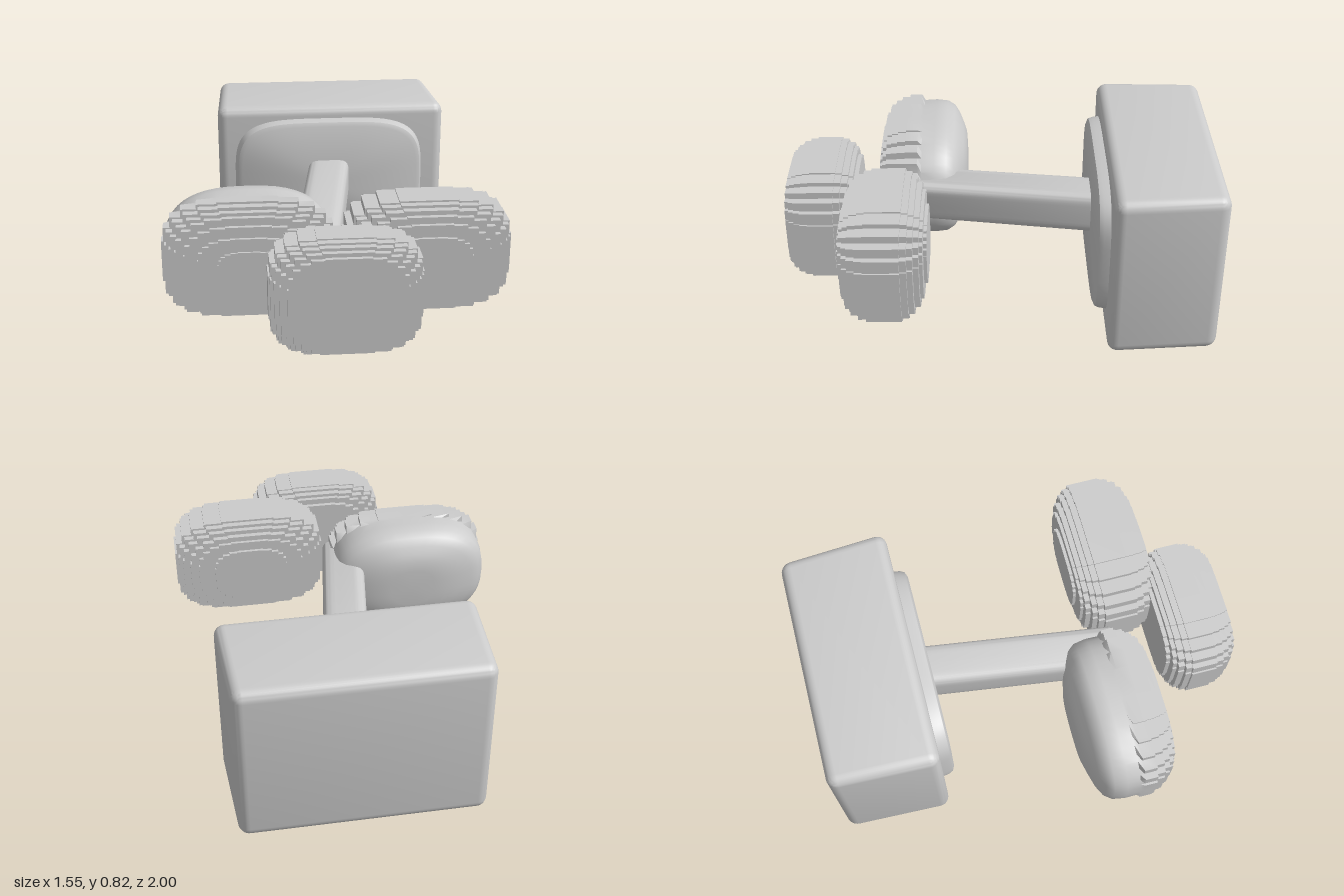
import * as THREE from 'three';
import { toCreasedNormals } from 'three/addons/utils/BufferGeometryUtils.js';
import { RoundedBoxGeometry } from 'three/addons/geometries/RoundedBoxGeometry.js';

const material = new THREE.MeshStandardMaterial({ color: 0xcccccc });

// Superellipse outline of radius 1; stepped turns its corners into stairs
function outline(n, power, stepped) {
  const at = (a) => {
    const c = Math.cos(a), s = Math.sin(a);
    const f = (v) => (Math.abs(v) < 1e-6 ? 0 : Math.sign(v) * Math.abs(v) ** (2 / power));
    return [f(c), f(s)];
  };
  const points = [];
  const step = Math.PI / (2 * n);
  for (let k = 0; k < 4 * n; k++) {
    const p = at(k * step), q = at((k + 1) * step);
    const wide = (i) => (Math.abs(p[i]) > Math.abs(q[i]) ? p[i] : q[i]);
    points.push(p, stepped ? [wide(0), wide(1)] : at((k + 0.5) * step));
  }
  return points;
}

// Closed body lofted along z through rings { z, sx, sy, dx, stepped }
function loft(rings, n, power) {
  const shapes = [outline(n, power, false), outline(n, power, true)];
  const count = 8 * n, pos = [], index = [];
  for (const { z, sx, sy, dx = 0, stepped = false } of rings)
    for (const [x, y] of shapes[stepped ? 1 : 0]) pos.push(x * sx + dx, y * sy, z);
  for (let i = 0; i < rings.length - 1; i++)
    for (let j = 0; j < count; j++) {
      const a = i * count + j, b = i * count + (j + 1) % count;
      index.push(a, b, b + count, a, b + count, a + count);
    }
  // end caps
  const first = rings[0], last = rings[rings.length - 1], base = rings.length * count;
  pos.push(first.dx ?? 0, 0, first.z, last.dx ?? 0, 0, last.z);
  for (let j = 0; j < count; j++) {
    const k = (j + 1) % count, top = base - count;
    index.push(base, k, j, base + 1, top + j, top + k);
  }
  const g = new THREE.BufferGeometry();
  g.setAttribute('position', new THREE.Float32BufferAttribute(pos, 3));
  g.setIndex(index);
  return toCreasedNormals(g, 0.6);
}

// Slabs [startZ, halfWidth, halfHeight] become terraces, ending at endZ
function terraces(slabs, endZ) {
  return slabs.flatMap(([z, sx, sy], i) => {
    const next = i + 1 < slabs.length ? slabs[i + 1][0] : endZ;
    return [{ z, sx, sy, stepped: true }, { z: next, sx, sy, stepped: true }];
  });
}

const smooth = (list) => list.map(([z, sx, sy, dx]) => ({ z, sx, sy, dx }));

export function createModel() {
  const group = new THREE.Group();
  const add = (name, geometry, x, y, z = 0) => {
    const mesh = new THREE.Mesh(geometry, material);
    mesh.name = name;
    mesh.position.set(x, y, z);
    group.add(mesh);
  };

  // Large rear block, slightly narrower towards the back
  const block = new RoundedBoxGeometry(1.165, 0.82, 0.51, 4, 0.05);
  const p = block.attributes.position;
  for (let i = 0; i < p.count; i++) {
    const t = 0.5 - p.getZ(i) / 0.51;
    p.setX(i, p.getX(i) * (1 - 0.045 * t) - 0.008 * t);
  }
  add('rearBlock', toCreasedNormals(block, 0.6), 0.0625, 0.41, -0.745);

  // Raised plate on the front of the block
  add('plate', loft(smooth([
    [-0.52, 0.49, 0.345], [-0.46, 0.48, 0.34], [-0.44, 0.47, 0.335], [-0.43, 0.45, 0.315],
  ]), 10, 4), 0.05, 0.415);

  // Slanted arm
  add('arm', loft(smooth([
    [-0.47, 0.105, 0.107, 0.05], [0.45, 0.105, 0.1, -0.08], [0.48, 0.085, 0.08, -0.085],
  ]), 6, 5), 0, 0.442);

  // Pod at the end of the arm: soft back, terraced front
  add('rightPod', loft([
    ...smooth([
      [0.16, 0.11, 0.1], [0.165, 0.18, 0.15], [0.18, 0.24, 0.185], [0.2, 0.31, 0.22],
      [0.225, 0.355, 0.255], [0.26, 0.38, 0.275], [0.32, 0.39, 0.28], [0.38, 0.39, 0.275],
    ]),
    ...terraces([
      [0.4, 0.39, 0.275], [0.46, 0.375, 0.265], [0.5, 0.355, 0.25], [0.53, 0.33, 0.235],
      [0.555, 0.29, 0.2], [0.575, 0.23, 0.15], [0.59, 0.14, 0.09],
    ], 0.6),
  ], 6, 2.6), -0.39, 0.41);

  // Terraced pod on the left
  add('leftPod', loft(terraces([
    [0.33, 0.18, 0.14], [0.345, 0.26, 0.185], [0.36, 0.3, 0.21], [0.385, 0.335, 0.23],
    [0.41, 0.355, 0.245], [0.44, 0.37, 0.255], [0.6, 0.36, 0.247], [0.635, 0.34, 0.235],
    [0.67, 0.31, 0.215], [0.695, 0.26, 0.185], [0.715, 0.18, 0.13],
  ], 0.73), 6, 2.6), 0.4, 0.465);

  // Terraced front pod
  add('frontPod', loft(terraces([
    [0.67, 0.235, 0.2], [0.69, 0.275, 0.228], [0.71, 0.3, 0.243], [0.74, 0.32, 0.255],
    [0.77, 0.33, 0.26], [0.89, 0.322, 0.254], [0.925, 0.307, 0.245], [0.955, 0.285, 0.232],
    [0.98, 0.255, 0.215],
  ], 1), 6, 2.8), 0.01, 0.42);

  return group;
}
